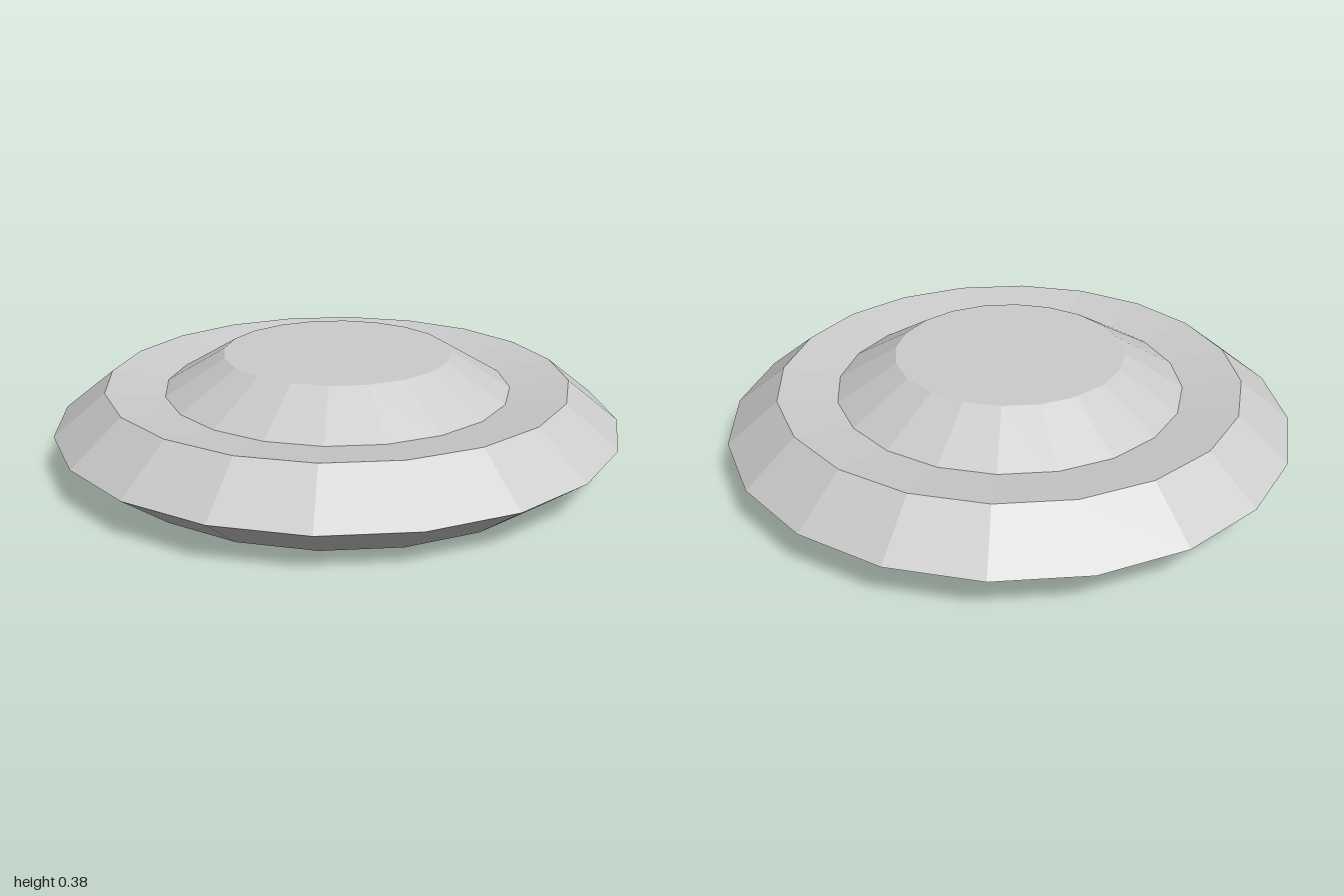
import * as THREE from 'three';

const SIDES = 20;

export function createModel() {
  const group = new THREE.Group();
  group.name = 'saucer';
  const material = new THREE.MeshStandardMaterial({ color: 0xcccccc, flatShading: true });

  // Revolves a [radius, height] profile, listed from bottom to top
  const addRing = (name, profile) => {
    const points = profile.map(([r, y]) => new THREE.Vector2(r, y));
    const mesh = new THREE.Mesh(new THREE.LatheGeometry(points, SIDES), material);
    mesh.name = name;
    group.add(mesh);
  };

  // Underside, nearly flat, and the lower bevel out to the sharp rim
  addRing('lowerHull', [[0, 0.015], [0.82, 0], [1, 0.137]]);

  // Upper bevel and the shallow groove sloping in to the dome
  addRing('upperHull', [[1, 0.137], [0.82, 0.28], [0.615, 0.25]]);

  // Low dome with a flat top
  addRing('dome', [[0.615, 0.25], [0.405, 0.375], [0, 0.375]]);

  return group;
}
